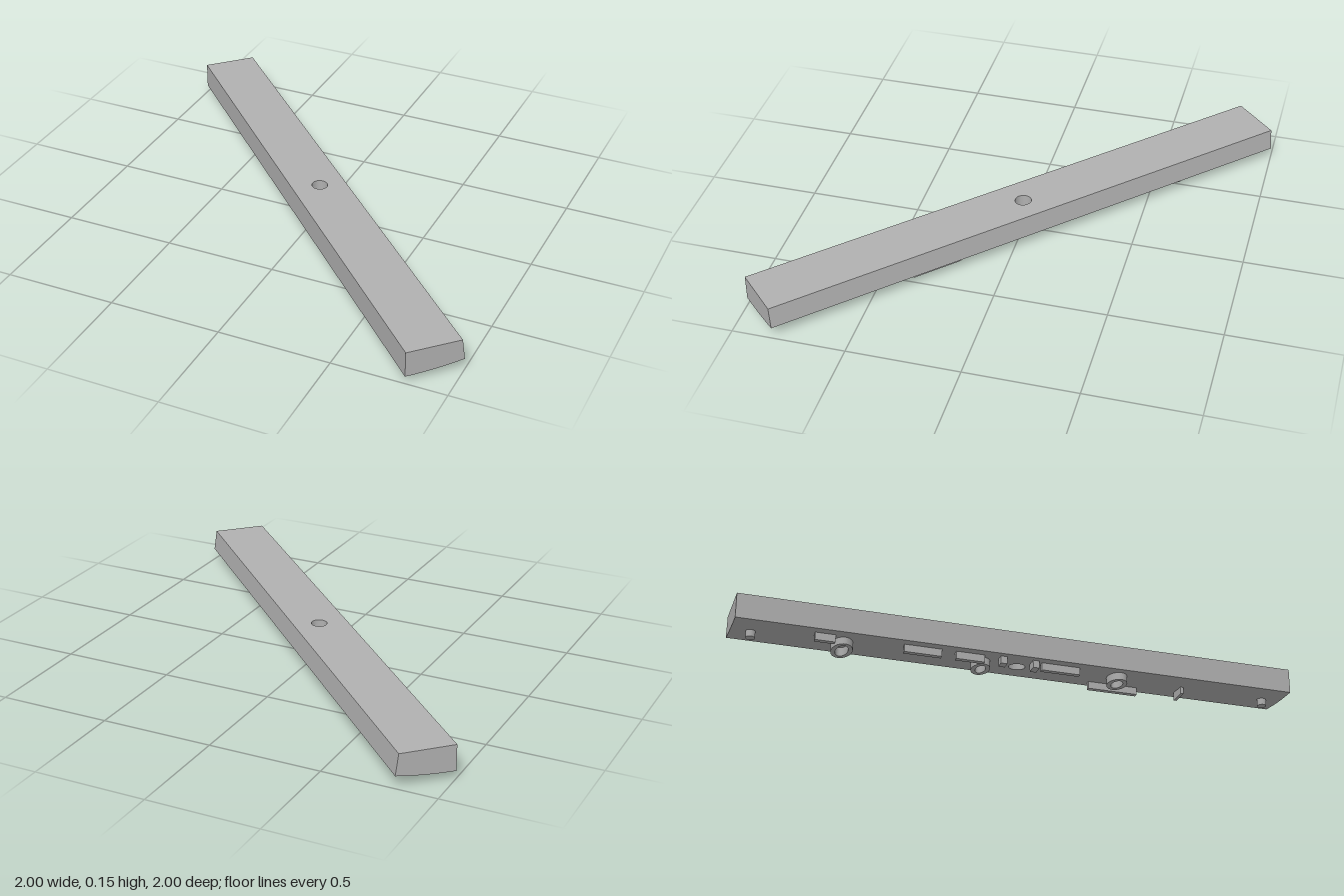
import * as THREE from 'three';

const HALF_LEN = 1.287, HALF_W = 0.1275, TOP = 0.15, LEAN = 0.013;
const HOLE_R = 0.037, MID = 0.08;

// height of the gently curved underside at u across the bar (back edge is +u)
const under = (u) => 0.035 + 0.02 * ((u + HALF_W) / (2 * HALF_W)) ** 2;

const steps = Array.from({ length: 9 }, (_, i) => -HALF_W + (i / 8) * 2 * HALF_W);

export function createModel() {
  const grey = new THREE.MeshStandardMaterial({ color: 0xb0b0b0 });
  grey.name = 'grey';
  const model = new THREE.Group();
  model.name = 'bar';
  const bar = new THREE.Group();
  bar.name = 'diagonalBar';
  bar.rotation.y = -Math.PI / 4;
  model.add(bar);

  const add = (name, geometry) => {
    const mesh = new THREE.Mesh(geometry, grey);
    mesh.name = name;
    bar.add(mesh);
    return mesh;
  };

  // solid lengths either side of the hole: one cross-section, extruded
  const section = new THREE.Shape([
    ...steps.map((u) => new THREE.Vector2(u, under(u))),
    new THREE.Vector2(HALF_W - LEAN, TOP),
    new THREE.Vector2(-HALF_W, TOP),
  ]);
  for (const [name, start] of [['barHalfBack', -HALF_LEN], ['barHalfFront', MID]]) {
    const g = new THREE.ExtrudeGeometry(section, { depth: HALF_LEN - MID, bevelEnabled: false });
    g.rotateY(Math.PI / 2);
    g.translate(start, 0, 0);
    add(name, g);
  }

  // short middle block with the through hole, bent to the same section
  const plan = new THREE.Shape([
    ...steps.map((u) => new THREE.Vector2(MID, u)),
    ...[...steps].reverse().map((u) => new THREE.Vector2(-MID, u)),
  ]);
  const hole = new THREE.Path();
  hole.absarc(0, 0, HOLE_R, 0, Math.PI * 2, true);
  plan.holes.push(hole);
  const middle = new THREE.ExtrudeGeometry(plan, { depth: 1, bevelEnabled: false, curveSegments: 24 });
  middle.rotateX(-Math.PI / 2);
  const p = middle.attributes.position;
  for (let i = 0; i < p.count; i++) {
    const u = -p.getZ(i);
    if (p.getY(i) > 0.5) {
      p.setY(i, TOP);
      p.setZ(i, -(u - LEAN * Math.max(0, u) / HALF_W));
    } else p.setY(i, under(u));
  }
  middle.computeVertexNormals();
  add('barMiddle', middle);

  // raised ribs under the bar: [centre along, centre across, length, width]
  const ribs = [
    [0.483, 0.075, 0.235, 0.022],
    [0.18, -0.075, 0.18, 0.022],
    [-0.24, -0.075, 0.13, 0.022],
    [-0.455, -0.075, 0.17, 0.022],
    [-0.89, -0.075, 0.09, 0.022],
    [0.79, 0.02, 0.014, 0.085],
    [0.06, -0.075, 0.03, 0.05],
    [-0.09, -0.08, 0.03, 0.04],
  ];
  for (const [s, u, length, width] of ribs) {
    const low = under(u) - 0.035;
    const g = new THREE.BoxGeometry(length, 0.045, width);
    add('undersideRib', g).position.set(s, low + 0.0225, -u);
  }

  // oval ring bosses: [centre along, centre across, half length, half width]
  for (const [s, u, a, b] of [[0.465, -0.035, 0.045, 0.06], [-0.17, 0, 0.042, 0.06], [-0.8, 0, 0.047, 0.075]]) {
    const oval = new THREE.Shape().absellipse(0, 0, a, b, 0, Math.PI * 2, false, 0);
    oval.holes.push(new THREE.Path().absellipse(0, 0, a - 0.02, b - 0.02, 0, Math.PI * 2, true, 0));
    const g = new THREE.ExtrudeGeometry(oval, { depth: 0.045, bevelEnabled: false, curveSegments: 20 });
    g.rotateX(-Math.PI / 2);
    add('ringBoss', g).position.set(s, under(u) - 0.036, -u);
  }

  // round pin near each end
  for (const s of [-1.2, 1.2]) {
    const g = new THREE.CylinderGeometry(0.021, 0.021, 0.04, 20);
    add('endPin', g).position.set(s, 0.028, 0);
  }
  return model;
}
